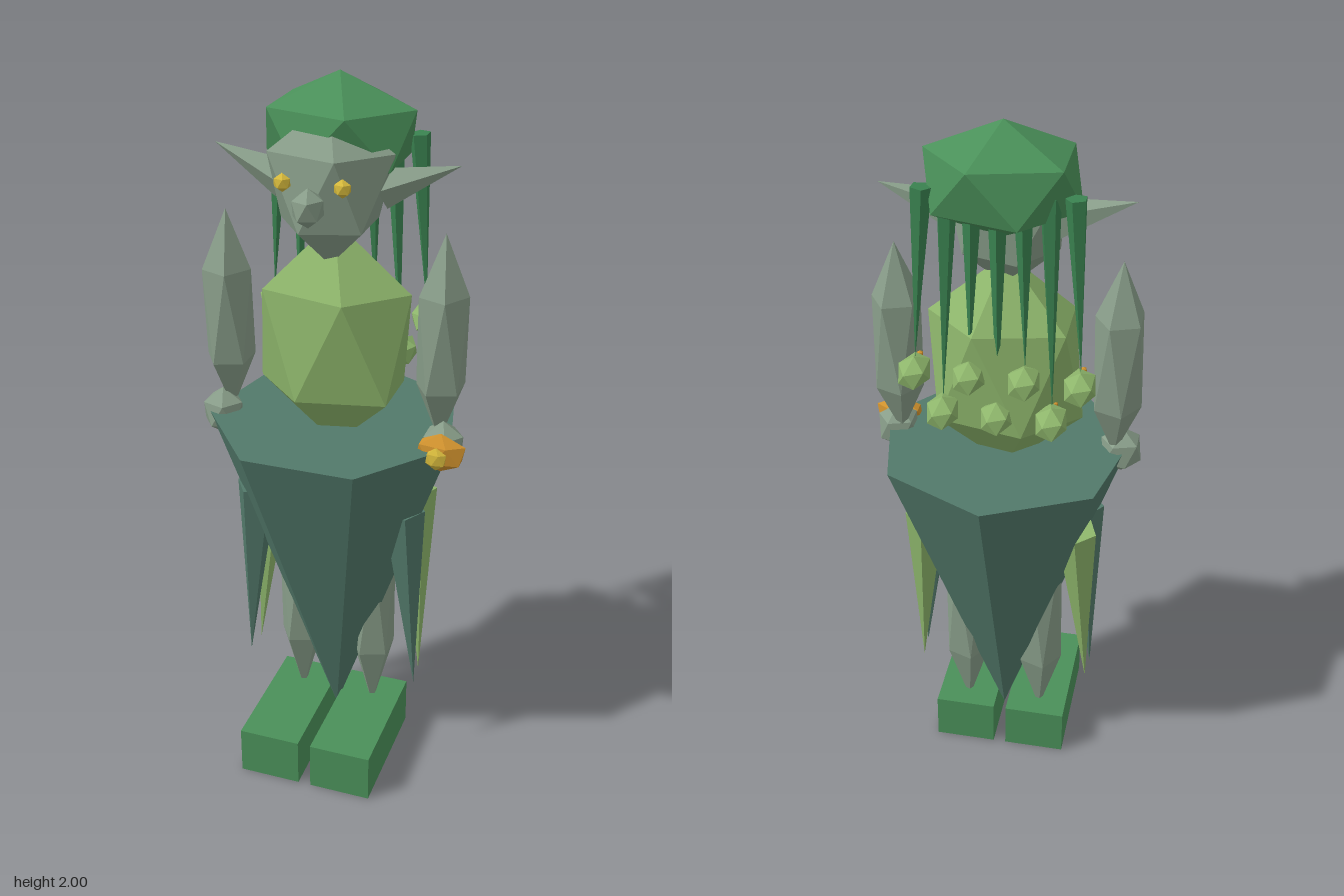
import * as THREE from 'three';

const mat = (name, color) => Object.assign(new THREE.MeshStandardMaterial({ color }), { name });

// Faceted normals for every part
function faceted(geo) {
  const g = geo.index ? geo.toNonIndexed() : geo;
  g.computeVertexNormals();
  return g;
}

// Twelve-point ball with its poles on y; the lower half can be narrowed
function ball(rx, ry, rz, lower = 1) {
  const ring = (y, turn, k) => Array.from({ length: 5 }, (_, i) => {
    const a = turn + i * Math.PI * 0.4;
    return [0.894 * Math.cos(a) * rx * k, y * ry, 0.894 * Math.sin(a) * rz];
  });
  const up = ring(0.447, 0, 1), low = ring(-0.447, Math.PI / 5, lower);
  const top = [0, ry, 0], bottom = [0, -ry, 0];
  const pos = [];
  for (let k = 0; k < 5; k++) {
    const n = (k + 1) % 5;
    pos.push(...top, ...up[n], ...up[k], ...up[k], ...up[n], ...low[k]);
    pos.push(...low[k], ...up[n], ...low[n], ...bottom, ...low[k], ...low[n]);
  }
  const g = new THREE.BufferGeometry();
  g.setAttribute('position', new THREE.Float32BufferAttribute(pos, 3));
  return faceted(g);
}

export function createModel() {
  const model = new THREE.Group();
  model.name = 'forestFigure';
  const skin = mat('greyGreenSkin', 0x889d89);
  const green = mat('hairGreen', 0x4a9059);
  const strandGreen = mat('strandGreen', 0x3a8250);
  const moss = mat('mossGreen', 0x8db56b);
  const teal = mat('skirtTeal', 0x52796a);
  const gold = mat('gold', 0xd0922e);
  const yellow = mat('yellow', 0xd6b93c);
  const cx = -0.01;

  function add(name, geo, material, x, y, z) {
    const m = new THREE.Mesh(geo, material);
    m.name = name;
    m.position.set(x, y, z);
    model.add(m);
    return m;
  }

  // Cone running from a base centre to a tip
  function spike(name, material, r, base, tip, sides) {
    const b = new THREE.Vector3(...base), t = new THREE.Vector3(...tip);
    const dir = t.clone().sub(b), mid = b.clone().lerp(t, 0.5);
    const m = add(name, faceted(new THREE.ConeGeometry(r, dir.length(), sides)), material, mid.x, mid.y, mid.z);
    m.quaternion.setFromUnitVectors(new THREE.Vector3(0, 1, 0), dir.normalize());
    return m;
  }

  // Skirt: upside-down seven-sided cone with a corner at the back
  const skirtGeo = new THREE.ConeGeometry(0.352, 0.985, 7);
  skirtGeo.rotateX(Math.PI);
  add('skirt', faceted(skirtGeo), teal, -0.008, 0.5775, 0.0175);

  // Torso, head and hair
  add('torso', ball(0.234, 0.32, 0.16), moss, cx, 1.312, 0.025);
  add('head', ball(0.19, 0.21, 0.141, 0.78), skin, cx, 1.735, 0.06);
  add('hairCap', ball(0.222, 0.15, 0.176), green, cx, 1.852, -0.02);
  add('nose', ball(0.044, 0.05, 0.05), skin, cx, 1.725, 0.218);

  for (const s of [-1, 1]) {
    const side = s > 0 ? 'left' : 'right';
    add(side + 'Eye', ball(0.024, 0.024, 0.019), yellow, cx + s * 0.077, 1.772, 0.187);
    spike(side + 'Ear', skin, 0.055, [cx + s * 0.13, 1.735, 0.032], [cx + s * 0.326, 1.804, 0.017], 5);

    // Arms, hands, legs and shoes
    add(side + 'Arm', ball(0.075, 0.29, 0.085), skin, cx + s * 0.297, 1.345, 0.035);
    add(side + 'Hand', ball(0.062, 0.07, 0.06), skin, cx + s * 0.314, 1.058, 0.06);
    add(side + 'Leg', ball(0.072, 0.4, 0.08), skin, cx + s * 0.11, 0.5, 0.003);
    add(side + 'Shoe', faceted(new THREE.BoxGeometry(0.177, 0.143, 0.378)), green, cx + s * 0.107, 0.0715, 0.115);

    // Two pointed leaves hanging at each hip
    spike(side + 'TealLeaf', teal, 0.06, [cx + s * 0.215, 0.845, 0.072], [cx + s * 0.255, 0.26, 0.065], 5);
    spike(side + 'MossLeaf', moss, 0.058, [cx + s * 0.215, 0.845, -0.052], [cx + s * 0.25, 0.26, -0.002], 5);
  }

  // Hair strands, each ending in a bud; every second one hangs lower
  for (let i = -3; i <= 3; i++) {
    const y = i % 2 ? 1.345 : 1.232;
    const x = cx + i * 0.072;
    spike('hairStrand', strandGreen, 0.028, [cx + i * 0.063, 1.845, -0.085], [x, y + 0.03, -0.098], 5);
    add('bud', ball(0.046, 0.042, 0.075), moss, x, y, -0.112);
    add('budDot', ball(0.009, 0.009, 0.009), gold, x, y + 0.015, -0.047);
  }

  // Gold ornament held in the left hand
  add('ornament', ball(0.075, 0.056, 0.034), gold, 0.312, 1.062, 0.112);
  add('ornamentGem', ball(0.031, 0.033, 0.014), yellow, 0.31, 1.062, 0.151);

  return model;
}
